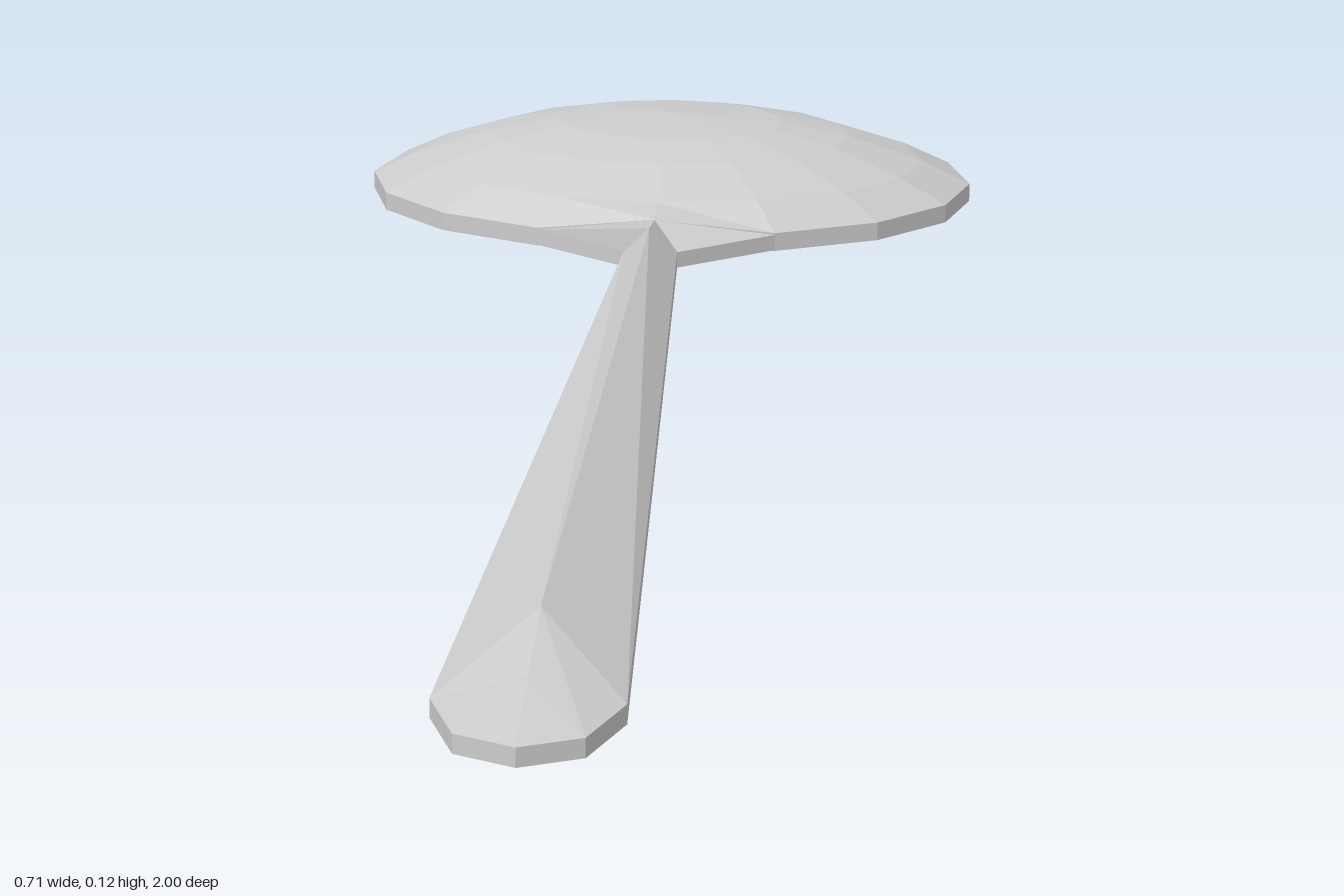
import * as THREE from 'three';

// Skins rows of points, each row a closed loop, with flat facets
function loft(name, rows) {
  const pos = [];
  const n = rows[0].length;
  const tri = (a, b, c) => {
    const v = [a, b, c].map((p) => new THREE.Vector3(...p));
    const area = v[1].clone().sub(v[0]).cross(v[2].clone().sub(v[0])).length();
    if (area > 1e-8) pos.push(...a, ...b, ...c);
  };
  for (let i = 0; i < rows.length - 1; i++) {
    for (let j = 0; j < n; j++) {
      const k = (j + 1) % n;
      const a = rows[i][j], b = rows[i][k], c = rows[i + 1][k], d = rows[i + 1][j];
      tri(a, d, c);
      tri(a, c, b);
    }
  }
  const geo = new THREE.BufferGeometry();
  geo.setAttribute('position', new THREE.Float32BufferAttribute(pos, 3));
  geo.computeVertexNormals();
  const mesh = new THREE.Mesh(geo, new THREE.MeshStandardMaterial({ color: 0xcccccc, flatShading: true }));
  mesh.name = name;
  return mesh;
}

// Bowl: an oval dome, open side down, with a thin wall
function makeBowl() {
  const sides = 16, thickness = 0.021;
  // [share of the radius, height]
  const profile = [[0, 0.124], [0.37, 0.115], [0.6, 0.099], [0.84, 0.071], [1, 0.044]];
  const ring = ([r, y], drop) => Array.from({ length: sides }, (_, j) => {
    const t = (j / sides) * Math.PI * 2;
    // The rim rises at the front to meet the neck
    const lift = r === 1 && j === 0 && drop === 0 ? 0.018 : 0;
    return [0.355 * r * Math.sin(t), y - drop + lift, -0.75 + 0.25 * r * Math.cos(t)];
  });
  const outer = profile.map((p) => ring(p, 0));
  const inner = profile.map((p) => ring(p, thickness)).reverse();
  return loft('bowl', [...outer, ...inner]);
}

// Handle: a six-sided bar, ridged above and below, flaring out of the bowl
function makeHandle() {
  // [half width, side z, ridge y, ridge z, keel y, keel z]
  const stations = [
    [0.136, -0.519, 0.062, -0.5, 0.023, -0.5],
    [0.03, -0.44, 0.075, -0.42, 0.022, -0.44],
    [0.083, 0.9, 0.085, 0.79, 0.002, 0.9],
    [0.055, 0.975, 0.064, 0.9, 0.008, 0.925],
    [0, 1, 0.042, 1, 0.024, 1],
  ];
  const rows = stations.map(([w, z, ry, rz, ky, kz]) => [
    [0, ry, rz], [w, 0.042, z], [w, 0.024, z],
    [0, ky, kz], [-w, 0.024, z], [-w, 0.042, z],
  ]);
  return loft('handle', rows);
}

export function createModel() {
  const spoon = new THREE.Group();
  spoon.name = 'spoon';
  spoon.add(makeBowl(), makeHandle());
  spoon.position.y = -0.002;
  return spoon;
}
